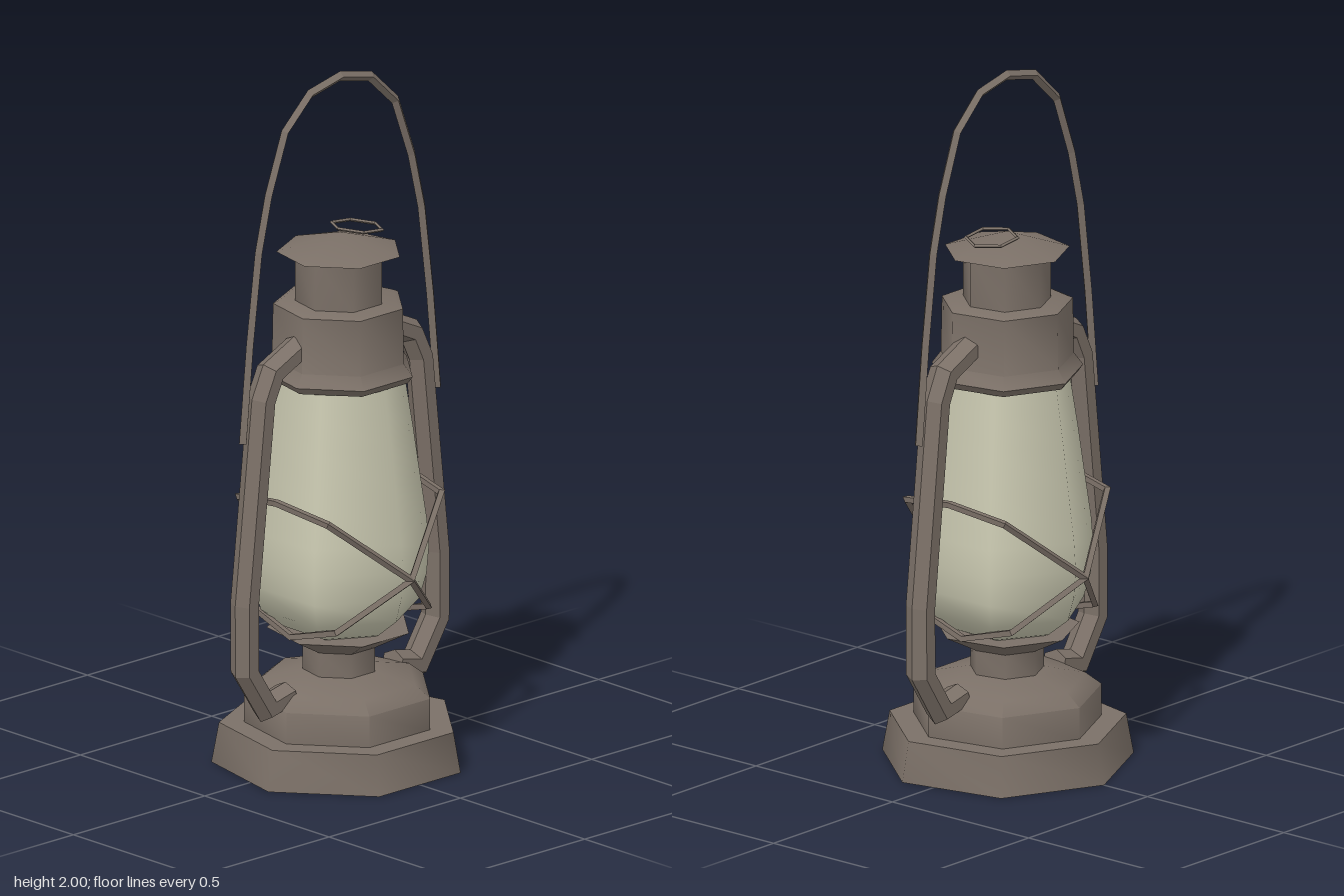
import * as THREE from 'three';
import { toCreasedNormals } from 'three/addons/utils/BufferGeometryUtils.js';

const CX = 0.016; // axis of the lamp

const metal = new THREE.MeshStandardMaterial({ color: 0x7b7067 });
metal.name = 'agedMetal';
const glass = new THREE.MeshStandardMaterial({ color: 0xc9c8b0 });
glass.name = 'frostedGlass';

// Turned part with few sides, first corner towards -x; profile runs bottom to top
function turned(name, profile, sides, material, crease) {
  const pts = profile.map(([r, y]) => new THREE.Vector2(r, y));
  let geo = new THREE.LatheGeometry(pts, sides, -Math.PI / 2);
  if (crease) geo = toCreasedNormals(geo, crease);
  const mesh = new THREE.Mesh(geo, material);
  mesh.name = name;
  mesh.position.x = CX;
  return mesh;
}

// Mitred sweep of a section along a polyline; ref is the normal of the path's plane
function sweep(name, path, section, ref, closed = false) {
  const P = path.map((p) => new THREE.Vector3(...p));
  const n = P.length, m = section.length;
  const pos = [], index = [];
  const dir = (i) => P[(i + 1) % n].clone().sub(P[(i + n) % n]).normalize();
  for (let i = 0; i < n; i++) {
    const d1 = !closed && i === n - 1 ? dir(n - 2) : dir(i);
    const d0 = !closed && i === 0 ? d1 : dir((i + n - 1) % n);
    const t = d0.clone().add(d1).normalize();
    const side = ref.clone().cross(t).normalize();
    const b = t.clone().cross(side);
    const stretch = 1 / Math.max(0.5, t.dot(d1));
    for (const [u, v] of section) {
      const q = P[i].clone().addScaledVector(side, u * stretch).addScaledVector(b, v);
      pos.push(q.x, q.y, q.z);
    }
  }
  const rings = closed ? n : n - 1;
  for (let i = 0; i < rings; i++) {
    for (let j = 0; j < m; j++) {
      const k = (j + 1) % m, i2 = (i + 1) % n;
      const a = i * m + j, bb = i * m + k, c = i2 * m + k, d = i2 * m + j;
      index.push(a, bb, c, a, c, d);
    }
  }
  if (!closed) {
    const e = (n - 1) * m;
    for (let j = 1; j < m - 1; j++) index.push(0, j + 1, j, e, e + j, e + j + 1);
  }
  let geo = new THREE.BufferGeometry();
  geo.setAttribute('position', new THREE.Float32BufferAttribute(pos, 3));
  geo.setIndex(index);
  geo = geo.toNonIndexed();
  geo.computeVertexNormals();
  const mesh = new THREE.Mesh(geo, metal);
  mesh.name = name;
  return mesh;
}

const diamond = (r) => [[r, 0], [0, r], [-r, 0], [0, -r]];

export function createModel() {
  const model = new THREE.Group();
  model.name = 'oilLantern';
  const X = new THREE.Vector3(1, 0, 0);
  const soft = 0.93; // rounds the seven sides, keeps the rims sharp

  // Stepped foot and fuel tank
  model.add(turned('base', [[0, 0], [0.357, 0], [0.336, 0.115], [0, 0.115]], 7, metal, soft));
  model.add(turned('fuelTank', [
    [0.267, 0.11], [0.267, 0.205], [0.222, 0.24], [0.104, 0.265], [0, 0.265],
  ], 7, metal, soft));

  // Burner neck flaring into the glass seat
  model.add(turned('burner', [
    [0.104, 0.26], [0.104, 0.335], [0.204, 0.388], [0, 0.388],
  ], 7, metal, soft));

  // Six-sided glass globe
  model.add(turned('glassGlobe', [
    [0.12, 0.38], [0.155, 0.395], [0.225, 0.45], [0.246, 0.52], [0.253, 0.6],
    [0.247, 0.68], [0.225, 0.83], [0.208, 0.95], [0.192, 1.05], [0.18, 1.13],
  ], 6, glass));

  // Hood with collar, chimney and conical cap
  model.add(turned('hood', [
    [0, 1.115], [0.2, 1.115], [0.215, 1.135], [0.189, 1.17], [0.186, 1.33],
    [0.17, 1.337], [0, 1.337],
  ], 7, metal, soft));
  model.add(turned('chimney', [[0.125, 1.33], [0.125, 1.485]], 7, metal, soft));
  model.add(turned('cap', [[0, 1.48], [0.177, 1.48], [0, 1.533]], 7, metal, soft));

  // Small wire ring lying on the cap
  const ring = [];
  for (let i = 0; i < 6; i++) {
    const a = (i / 6) * Math.PI * 2;
    const z = -0.07 + 0.071 * Math.cos(a);
    ring.push([0.01 + 0.074 * Math.sin(a), 1.54 + z * 0.11, z]);
  }
  model.add(sweep('capRing', ring, diamond(0.005), new THREE.Vector3(0, 1, -0.11).normalize(), true));

  // Side tubes and crossed guard wires, front and back
  const hex = [[0.036, 0], [0.018, 0.038], [-0.018, 0.038], [-0.036, 0], [-0.018, -0.038], [0.018, -0.038]];
  const tube = [
    [0.2, 0.235], [0.285, 0.215], [0.362, 0.335], [0.363, 0.53],
    [0.3, 1.11], [0.265, 1.185], [0.16, 1.235],
  ];
  const wire = [
    [-0.288, 0.587, 0], [-0.18, 0.77, 0.215], [0, 0.797, 0.24], [0.18, 0.77, 0.215],
    [0.288, 0.587, 0], [0.17, 0.445, -0.175], [0, 0.395, -0.185], [-0.17, 0.445, -0.175],
  ];
  for (const s of [1, -1]) {
    const label = s > 0 ? 'front' : 'back';
    model.add(sweep(label + 'SideTube', tube.map(([z, y]) => [CX, y, s * z]), hex, X));
    model.add(sweep(label + 'GuardWire', wire.map(([x, y, z]) => [CX + x, y, s * z]),
      diamond(0.011), new THREE.Vector3(0, 0.76, -0.65 * s), true));
  }

  // Tall carrying bail
  const half = [[0.37, 1], [0.343, 1.28], [0.31, 1.54], [0.272, 1.7], [0.21, 1.87], [0.115, 1.96]];
  const bail = [
    ...half.map(([z, y]) => [CX, y, z]),
    [CX, 1.986, 0],
    ...half.map(([z, y]) => [CX, y, -z]).reverse(),
  ];
  model.add(sweep('carryingHandle', bail, diamond(0.014), X));

  return model;
}
